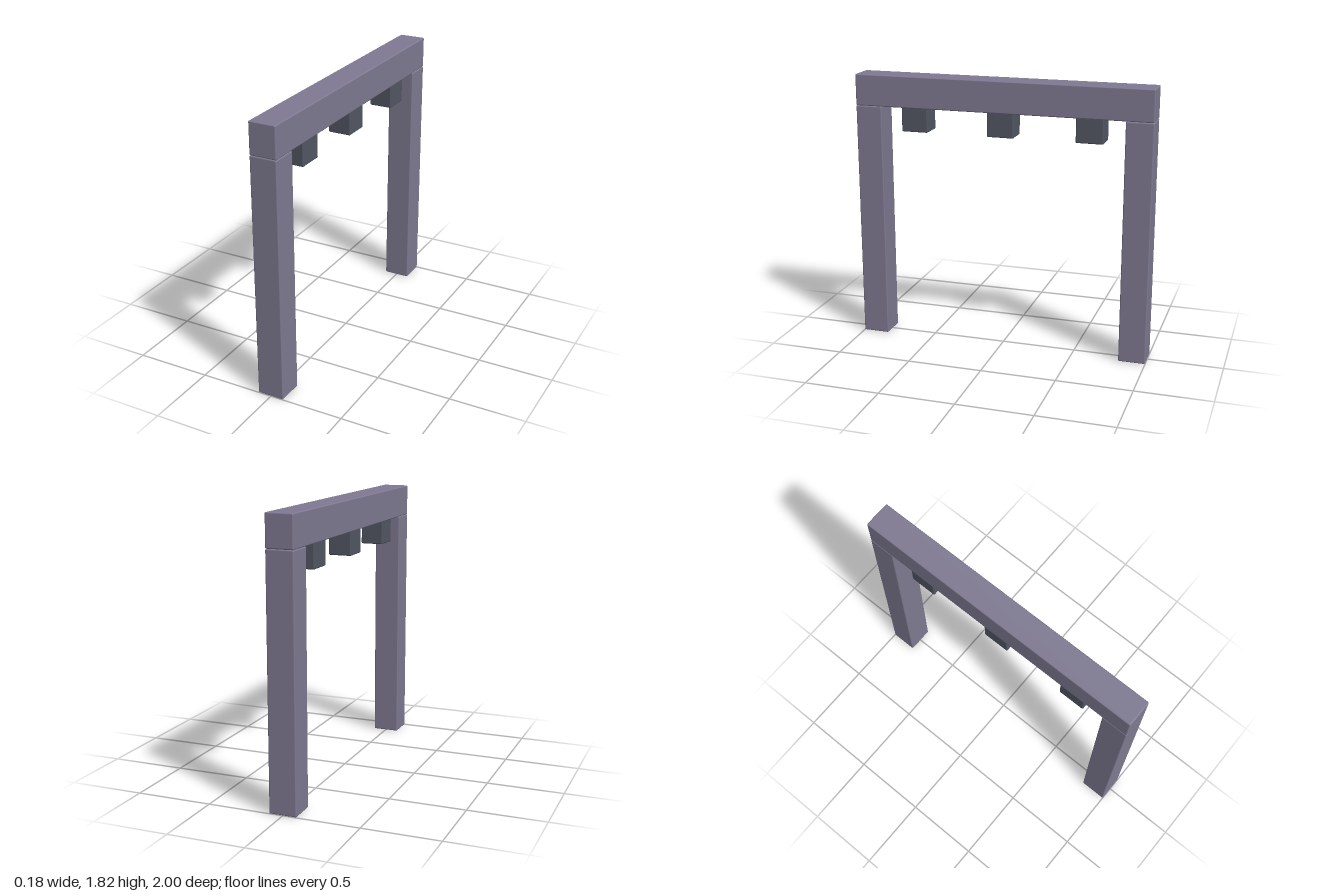
import * as THREE from 'three';
import { RoundedBoxGeometry } from 'three/addons/geometries/RoundedBoxGeometry.js';

const frameMaterial = new THREE.MeshStandardMaterial({ color: 0x7f7a92 });
const blockMaterial = new THREE.MeshStandardMaterial({ color: 0x525763 });

// Box with slightly softened edges, placed by its base height
function block(name, [w, h, d], [x, base, z], material) {
  const mesh = new THREE.Mesh(new RoundedBoxGeometry(w, h, d, 2, 0.008), material);
  mesh.name = name;
  mesh.position.set(x, base + h / 2, z);
  return mesh;
}

export function createModel() {
  const group = new THREE.Group();
  group.name = 'gateFrame';

  // Top beam
  group.add(block('topBeam', [0.18, 0.21, 2], [0, 1.61, 0], frameMaterial));

  // Posts at both ends
  for (const [name, side] of [['frontPost', 1], ['backPost', -1]]) {
    group.add(block(name, [0.18, 1.61, 0.18], [0, 0, side * 0.91], frameMaterial));
  }

  // Blocks hanging under the beam
  ['frontBlock', 'middleBlock', 'backBlock'].forEach((name, i) => {
    group.add(block(name, [0.155, 0.165, 0.18], [0, 1.45, (1 - i) * 0.59], blockMaterial));
  });

  return group;
}
